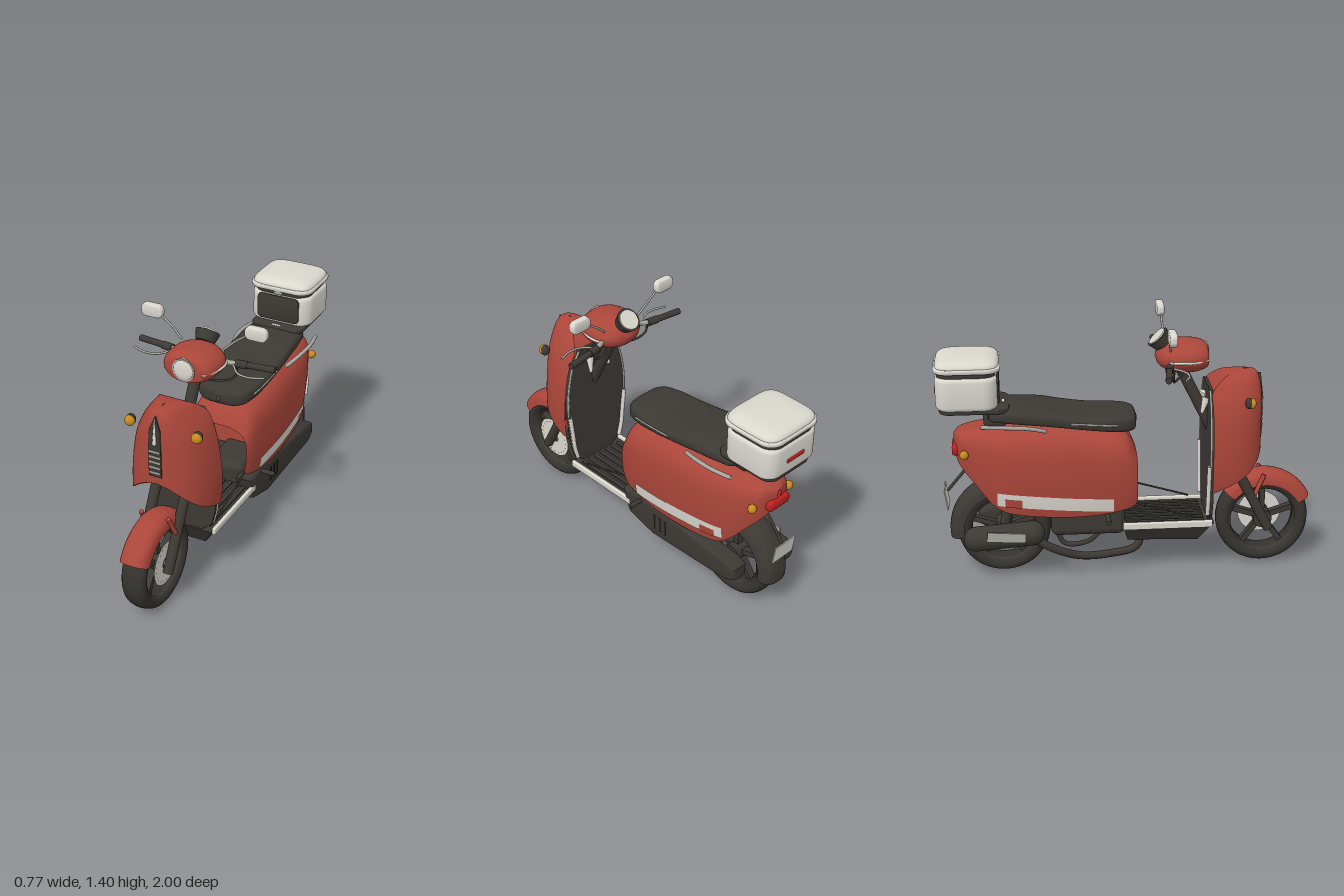
import * as THREE from 'three';
import { RoundedBoxGeometry } from 'three/addons/geometries/RoundedBoxGeometry.js';
import { toCreasedNormals } from 'three/addons/utils/BufferGeometryUtils.js';

const mat = (name, color) => new THREE.MeshStandardMaterial({ name, color, side: THREE.DoubleSide });
const V = (p) => new THREE.Vector3(...p);
const { sin, cos, abs, sign, sqrt, PI } = Math;
const pw = (k, e) => sign(k) * abs(k) ** e;

// Smooth lookup in a table of rows [key, value, value...]
function look(tab, k) {
  let i = 0;
  while (i < tab.length - 2 && k > tab[i + 1][0]) i++;
  const [a, b] = [tab[i], tab[i + 1]], [p, q] = [tab[i - 1] || a, tab[i + 2] || b];
  const h = b[0] - a[0], t = (k - a[0]) / h;
  return a.slice(1).map((_, j) => {
    const c = j + 1, m0 = (b[c] - p[c]) / (b[0] - p[0]) * h, m1 = (q[c] - a[c]) / (q[0] - a[0]) * h;
    return a[c] + t * (m0 + t * (3 * (b[c] - a[c]) - 2 * m0 - m1 + t * (m0 + m1 - 2 * (b[c] - a[c]))));
  });
}

// Surface from a rule f(u, v) -> [x, y, z]
function grid(nu, nv, f) {
  const pos = [], idx = [];
  for (let i = 0; i <= nu; i++) for (let j = 0; j <= nv; j++) pos.push(...f(i / nu, j / nv));
  for (let i = 0; i < nu; i++) for (let j = 0; j < nv; j++) {
    const a = i * (nv + 1) + j, b = a + nv + 1;
    idx.push(a, b, a + 1, b, b + 1, a + 1);
  }
  const g = new THREE.BufferGeometry();
  g.setAttribute('position', new THREE.Float32BufferAttribute(pos, 3));
  g.setIndex(idx);
  g.computeVertexNormals();
  return g;
}

// Tables: rear body and seat by distance back [s, half width, bottom, top]; front shield by height [y, half width, back z, depth, front limit]
const BODY = [[-0.05, 0.165, 0.42, 0.69], [0, 0.185, 0.4, 0.79], [0.15, 0.2, 0.375, 0.83], [0.35, 0.205, 0.37, 0.86],
  [0.6, 0.19, 0.39, 0.86], [0.7, 0.172, 0.43, 0.855], [0.82, 0.13, 0.57, 0.84], [0.89, 0.08, 0.66, 0.82], [0.91, 0.01, 0.7, 0.8]];
const SEAT = [[-0.055, 0.01, 0.84, 0.87], [-0.04, 0.11, 0.815, 0.9], [0.05, 0.155, 0.81, 0.915], [0.2, 0.17, 0.83, 0.915],
  [0.35, 0.172, 0.85, 0.935], [0.45, 0.17, 0.86, 0.955], [0.65, 0.155, 0.88, 0.965], [0.72, 0.12, 0.89, 0.955], [0.73, 0.01, 0.9, 0.94]];
const SHIELD = [[0.49, 0.212, 0.44, 0.28, 0.45], [0.52, 0.219, 0.44, 0.28, 0.515], [0.56, 0.223, 0.44, 0.28, 0.6], [0.63, 0.225, 0.44, 0.28, 0.68],
  [0.72, 0.221, 0.44, 0.28, 0.724], [0.85, 0.203, 0.44, 0.28, 0.73], [0.95, 0.176, 0.44, 0.28, 0.73], [1.02, 0.14, 0.44, 0.275, 0.73],
  [1.08, 0.09, 0.5, 0.2, 0.73], [1.105, 0.045, 0.56, 0.12, 0.73], [1.112, 0.002, 0.62, 0.02, 0.73]];

function bodySection(s, q) {
  const [w, yb, yt] = look(BODY, s), mid = (yb + yt) / 2, h = (yt - yb) / 2, a = abs(q);
  if (a > 0.5) { const t = 2 * a - 1; return [sign(q) * w * (1 - 0.1 * t * t), mid - h * t, -s]; }
  return [sign(q) * w * sin(a * PI) ** 0.67, mid + h * abs(cos(a * PI)) ** 0.67, -s];
}
function bodyX(s, y) {
  const [w, yb, yt] = look(BODY, s), t = Math.max(0, ((yb + yt) / 2 - y) / ((yt - yb) / 2));
  return w * (1 - 0.1 * t * t);
}

export function createModel() {
  const root = new THREE.Group();
  root.name = 'scooter';
  const red = mat('red paint', 0xab463a), dark = mat('dark plastic', 0x3d3934), rubber = mat('tyre rubber', 0x36332f),
    light = mat('light silver', 0xdad7ce), steel = mat('steel', 0xa8a69f), amber = mat('amber lens', 0xc98a1c), lamp = mat('red lens', 0xc01f20);
  const add = (name, geo, m, p = [0, 0, 0], r = [0, 0, 0], parent = root) => {
    const o = new THREE.Mesh(geo, m);
    o.name = name; o.position.set(...p); o.rotation.set(...r); parent.add(o);
    return o;
  };
  const box = (name, m, size, p, r) => add(name, new THREE.BoxGeometry(...size), m, p, r);
  const rbox = (name, m, size, rad, p, r) => add(name, new RoundedBoxGeometry(...size, 4, rad), m, p, r);
  const ball = (name, m, p, s) => add(name, new THREE.SphereGeometry(1, 28, 18), m, p).scale.set(...s);
  const rod = (name, m, a, b, r, r2 = r) => {
    const d = V(b).sub(V(a)), o = add(name, new THREE.CylinderGeometry(r2, r, d.length(), 18), m);
    o.position.copy(V(a)).addScaledVector(d, 0.5);
    o.quaternion.setFromUnitVectors(new THREE.Vector3(0, 1, 0), d.normalize());
  };
  const tube = (name, m, pts, r) => add(name, new THREE.TubeGeometry(new THREE.CatmullRomCurve3(pts.map(V)), 32, r, 8), m);
  const extrude = (shape, depth, bevel) => toCreasedNormals(new THREE.ExtrudeGeometry(shape, { depth: depth - 2 * bevel, bevelSize: bevel,
    bevelThickness: bevel, bevelOffset: -bevel, bevelSegments: 4, curveSegments: 8 }).translate(0, 0, bevel), 0.6);
  // Side profile of [z, y] points, extruded from x0 to x1
  const profile = (name, m, pts, x0, x1, bevel = 0.015) => add(name,
    extrude(new THREE.Shape(pts.map(([z, y]) => new THREE.Vector2(-z, y))), x1 - x0, bevel).translate(0, 0, x0).rotateY(PI / 2), m);
  // Slab with round corners and softened rims
  const slab = (name, m, w, h, r, depth, bevel, p, rot) => {
    const s = new THREE.Shape(), x = w / 2 - r, y = h / 2 - r;
    [[x, y], [-x, y], [-x, -y], [x, -y]].forEach(([cx, cy], i) => s.absarc(cx, cy, r, i * PI / 2, (i + 1) * PI / 2));
    add(name, extrude(s, depth, bevel).translate(0, 0, -depth / 2), m, p, rot);
  };

  // Wheels: lathed tyre and rim, five spokes, hub
  const wheel = (name, z, y, R) => {
    const w = new THREE.Group();
    w.name = name; w.position.set(0, y, z); root.add(w);
    const tyre = [];
    for (let i = 0; i <= 20; i++) {
      const a = i / 20 * 2 * PI;
      tyre.push(new THREE.Vector2(R - 0.04 + 0.04 * pw(cos(a), 0.8), 0.067 * sin(a)));
    }
    add('tyre', new THREE.LatheGeometry(tyre, 56), rubber, [0, 0, 0], [0, 0, PI / 2], w);
    const rim = [[R - 0.05, -0.05], [R - 0.076, -0.05], [R - 0.072, 0], [R - 0.076, 0.05], [R - 0.05, 0.05]];
    add('rim', new THREE.LatheGeometry(rim.map((p) => new THREE.Vector2(...p)), 48), dark, [0, 0, 0], [0, 0, PI / 2], w);
    add('hub', new THREE.CylinderGeometry(0.05, 0.05, 0.11, 24), dark, [0, 0, 0], [0, 0, PI / 2], w);
    for (let i = 0; i < 5; i++) {
      const a = i / 5 * 2 * PI;
      add('spoke', new THREE.BoxGeometry(0.04, 0.15, 0.03), dark, [0, 0.11 * cos(a), 0.11 * sin(a)], [a, 0, 0], w);
    }
    return w;
  };
  const front = wheel('frontWheel', 0.745, 0.26, 0.253);
  wheel('rearWheel', -0.66, 0.255, 0.25);
  add('brakeDisc', new THREE.RingGeometry(0.03, 0.12, 40), light, [0.06, 0, 0], [0, PI / 2, 0], front);
  for (let i = 0; i < 20; i++) {
    const a = i / 20 * 2 * PI;
    add('discHole', new THREE.CircleGeometry(0.004, 8), dark, [0.062, 0.1 * cos(a), 0.1 * sin(a)], [0, PI / 2, 0], front);
  }

  // Mudguards: arched cross-section swept round each wheel
  const guard = (name, m, cz, cy, R, w, a0, a1) => add(name, grid(30, 14, (u, v) => {
    const a = (a0 + (a1 - a0) * u) * PI / 180, p = (v - 0.5) * PI, r = R - 0.075 + 0.075 * abs(cos(p)) ** 0.7;
    return [w * pw(sin(p), 0.8), cy + r * sin(a), cz + r * cos(a)];
  }), m);
  guard('frontMudguard', red, 0.75, 0.258, 0.283, 0.078, 28, 142);
  guard('rearMudguard', dark, -0.66, 0.255, 0.29, 0.085, 70, 188);

  // Fork and steering column
  rod('steeringColumn', dark, [0, 0.66, 0.52], [0, 1.15, 0.275], 0.03);
  rbox('forkCrown', dark, [0.2, 0.05, 0.07], 0.015, [0, 0.68, 0.52], [-0.46, 0, 0]);
  for (const s of [-1, 1]) {
    rod('forkLeg', dark, [s * 0.085, 0.22, 0.77], [s * 0.085, 0.7, 0.52], 0.027);
    rod('mudguardStay', red, [s * 0.077, 0.53, 0.74], [s * 0.088, 0.42, 0.69], 0.012);
  }
  rod('frontAxle', steel, [-0.1, 0.26, 0.745], [0.1, 0.26, 0.745], 0.015);

  // Front shield, cut away in an arch over the wheel and closed behind its crown
  for (const s of [-1, 1]) add('frontShield', grid(44, 24, (u, v) => {
    const y = 0.49 + 0.622 * (1 - (1 - u) ** 1.5), [w, zb, d, lim] = look(SHIELD, y);
    const a = Math.asin(Math.min(1, Math.max(0.02, (lim - zb) / d) ** 1.25)) * v;
    return [s * w * abs(cos(a)) ** 0.75, y, zb + d * sin(a) ** 0.8];
  }), red);
  add('shieldCrown', grid(14, 6, (u, v) => {
    const y = 1.0 + 0.112 * (1 - (1 - u) ** 1.5), [w, zb] = look(SHIELD, y);
    return [w * (2 * v - 1), y, zb];
  }), red);
  const edge = [[0.11, 0.3], [0.165, 0.345], [0.184, 0.42], [0.195, 0.52], [0.21, 0.64], [0.208, 0.75], [0.192, 0.86], [0.166, 0.95], [0.12, 1.03]];
  const legShape = new THREE.Shape([...edge.map(([x, y]) => new THREE.Vector2(x, y)), ...edge.slice().reverse().map(([x, y]) => new THREE.Vector2(-x, y))]);
  add('innerLegShield', new THREE.ExtrudeGeometry(legShape, { depth: 0.02, bevelEnabled: false }), dark, [0, 0, 0.43]);
  for (const s of [-1, 1]) {
    tube('legShieldTrim', light, edge.slice(1, 5).map(([x, y]) => [s * (x - 0.008), y, 0.424]), 0.012);
    tube('legShieldPiping', steel, edge.slice(4).map(([x, y]) => [s * (x - 0.004), y, 0.43]), 0.006);
    rod('bagHook', light, [s * 0.05, 0.97, 0.42], [s * 0.065, 0.89, 0.395], 0.022, 0.008);
    ball('frontIndicatorBase', dark, [s * 0.187, 0.978, 0.625], [0.026, 0.03, 0.022]);
    ball('frontIndicatorLens', amber, [s * 0.187, 0.977, 0.64], [0.028, 0.028, 0.022]);
  }
  // Grille and pointed slot on the nose
  box('grille', dark, [0.07, 0.18, 0.02], [0, 0.84, 0.715]);
  for (let i = 0; i < 5; i++) box('grilleBar', steel, [0.062, 0.011, 0.008], [0, 0.775 + i * 0.03, 0.724]);
  const slot = new THREE.Shape([[-0.034, 0], [0.034, 0], [0.03, 0.09], [0, 0.16], [-0.03, 0.09]].map((p) => new THREE.Vector2(...p)));
  add('noseSlot', new THREE.ExtrudeGeometry(slot, { depth: 0.02, bevelEnabled: false }), dark, [0, 0.925, 0.705], [-0.06, 0, 0]);
  rod('noseStripe', light, [0, 0.935, 0.724], [0, 1.075, 0.714], 0.011, 0.003);

  // Handlebar head with a blunt front, headlight and dial
  add('handlebarHead', grid(25, 36, (u, v) => {
    const k = Math.min(1, u / 0.96), t = 2 * k - 1, f = u === 1 ? 0 : t < 0 ? sqrt(1 - t * t) : sqrt(1 - 0.5 * t ** 3);
    return [0.148 * f * cos(v * 2 * PI), 1.195 + 0.087 * f * sin(v * 2 * PI), 0.15 + 0.272 * k];
  }), red);
  rod('headlightRim', steel, [0, 1.2, 0.41], [0, 1.2, 0.427], 0.062);
  ball('headlightLens', light, [0, 1.2, 0.425], [0.054, 0.054, 0.01]);
  rod('dialHousing', dark, [0, 1.255, 0.2], [0, 1.295, 0.164], 0.05, 0.065);
  rod('dialFace', light, [0, 1.295, 0.164], [0, 1.3, 0.159], 0.054);
  for (const s of [-1, 1]) {
    tube('headTrim', light, [[s * 0.1, 1.192, 0.424], [s * 0.137, 1.19, 0.36], [s * 0.15, 1.19, 0.28], [s * 0.132, 1.188, 0.21]], 0.007);
    rod('handlebar', steel, [s * 0.12, 1.185, 0.23], [s * 0.22, 1.18, 0.2], 0.013);
    rod('switchHousing', dark, [s * 0.18, 1.18, 0.21], [s * 0.24, 1.18, 0.2], 0.021);
    rod('handGrip', dark, [s * 0.24, 1.18, 0.2], [s * 0.385, 1.178, 0.18], 0.017);
    tube('brakeLever', steel, [[s * 0.17, 1.175, 0.22], [s * 0.23, 1.17, 0.285], [s * 0.3, 1.17, 0.295], [s * 0.37, 1.172, 0.27]], 0.006);
    tube('brakeCable', dark, [[s * 0.2, 1.17, 0.23], [s * 0.18, 1.11, 0.23], [s * 0.11, 1.085, 0.25], [s * 0.02, 1.1, 0.3]], 0.006);
    tube('mirrorStalk', steel, [[s * 0.12, 1.25, 0.22], [s * 0.18, 1.305, 0.21], [s * 0.25, 1.355, 0.21]], 0.006);
    slab('mirror', light, 0.12, 0.072, 0.03, 0.04, 0.01, [s * 0.292, 1.37, 0.208]);
  }

  // Floor tray tapering downwards, with ribs, light edges and foot pegs
  const tray = profile('floorBoard', dark, [[0.46, 0.3], [0.38, 0.17], [0, 0.19], [-0.03, 0.3]], -0.17, 0.17, 0.005).geometry;
  const tp = tray.attributes.position;
  for (let i = 0; i < tp.count; i++) tp.setX(i, tp.getX(i) * (0.55 + 0.45 * (tp.getY(i) - 0.17) / 0.13));
  tray.computeVertexNormals();
  for (let i = -3; i <= 3; i++) box('floorRib', dark, [0.022, 0.012, 0.42], [i * 0.043, 0.304, 0.2]);
  for (const s of [-1, 1]) {
    rbox('floorTrim', light, [0.022, 0.04, 0.48], 0.008, [s * 0.175, 0.3, 0.21]);
    rod('footPeg', dark, [s * 0.15, 0.36, -0.11], [s * 0.26, 0.36, -0.11], 0.013);
    rod('floorBrace', dark, [s * 0.15, 0.33, 0.36], [s * 0.15, 0.43, 0.02], 0.005);
  }

  // Rear body shell, underside and bulkhead
  add('rearBody', grid(44, 40, (u, v) => bodySection(-0.05 + 0.96 * u, 2 * v - 1)), red);
  add('bodyUnderside', grid(24, 2, (u, v) => {
    const s = 0.1 + 0.8 * u, [w, yb] = look(BODY, s);
    return [(2 * v - 1) * w * 0.89, yb + 0.012, -s];
  }), dark);
  box('bulkhead', red, [0.36, 0.38, 0.01], [0, 0.58, -0.25]);
  for (const s of [-1, 1]) {
    const plate = (name, m, s0, s1, lo, hi, off) => add(name, grid(20, 5, (u, v) => {
      const k = s0 + (s1 - s0) * u, y = lo + (hi - lo) * v + 0.08 * (k - 0.08);
      return [s * (bodyX(k, y) + off), y, -k];
    }), m);
    plate('sideStripe', light, 0.08, 0.69, 0.393, 0.467, 0.005);
    plate('stripePatch', red, 0.56, 0.65, 0.393, 0.44, 0.009);
    tube('grabRail', steel, [[s * 0.165, 0.85, -0.43], [s * 0.2, 0.88, -0.52], [s * 0.213, 0.893, -0.64], [s * 0.195, 0.893, -0.76]], 0.011);
    rod('seatPiping', steel, [s * 0.158, 0.865, -0.05], [s * 0.173, 0.887, -0.3], 0.005);
    ball('rearIndicator', amber, [s * 0.135, 0.72, -0.855], [0.023, 0.025, 0.023]);
  }
  slab('tailLight', lamp, 0.15, 0.06, 0.025, 0.05, 0.012, [0, 0.72, -0.895]);

  // Seat
  add('seat', grid(44, 32, (u, v) => {
    const s = -0.055 + 0.785 * (1 - cos(u * PI)) / 2, [w, yb, yt] = look(SEAT, s), a = v * 2 * PI;
    return [w * pw(cos(a), 0.6), (yb + yt) / 2 + (yt - yb) / 2 * pw(sin(a), 0.6), -s];
  }), dark);
  box('seatTag', light, [0.05, 0.006, 0.014], [0, 0.968, -0.645]);

  // Rack and luggage box with a domed lid
  const flat = [-PI / 2, 0, 0];
  slab('luggageRack', dark, 0.31, 0.36, 0.06, 0.022, 0.006, [0, 0.957, -0.795], flat);
  rbox('rackMount', dark, [0.16, 0.1, 0.12], 0.02, [0, 0.9, -0.69]);
  slab('luggageBox', light, 0.36, 0.32, 0.075, 0.18, 0.025, [0, 1.058, -0.83], flat);
  slab('boxFrontPanel', dark, 0.25, 0.15, 0.025, 0.012, 0.003, [0, 1.065, -0.668]);
  slab('boxSeal', dark, 0.33, 0.3, 0.07, 0.05, 0.005, [0, 1.155, -0.83], flat);
  slab('boxLidRim', light, 0.37, 0.345, 0.08, 0.026, 0.008, [0, 1.183, -0.825], flat);
  add('boxLid', grid(12, 48, (u, v) => {
    const e = u * PI / 2, a = v * 2 * PI, r = abs(cos(e)) ** 0.5;
    return [0.178 * r * pw(cos(a), 0.42), 1.19 + 0.046 * sin(e) ** 0.8, -0.825 + 0.165 * r * pw(sin(a), 0.42)];
  }), light);
  rbox('boxLatch', steel, [0.05, 0.03, 0.015], 0.005, [0, 1.165, -0.665]);
  rbox('boxReflector', lamp, [0.12, 0.022, 0.012], 0.004, [0, 1.05, -0.99]);

  // Engine, drive case, exhaust
  rbox('engine', dark, [0.22, 0.2, 0.4], 0.04, [0, 0.32, -0.21]);
  profile('driveCase', dark, [[0.03, 0.37], [-0.1, 0.385], [-0.3, 0.37], [-0.74, 0.325], [-0.8, 0.3], [-0.8, 0.23], [-0.74, 0.2], [-0.2, 0.18], [-0.02, 0.23]], 0.085, 0.185, 0.02);
  for (let i = 0; i < 3; i++) box('caseVent', rubber, [0.006, 0.09, 0.012], [0.186, 0.28, -0.22 - i * 0.04]);
  add('muffler', new THREE.CapsuleGeometry(0.066, 0.3, 8, 24), dark, [-0.162, 0.265, -0.66], [PI / 2 - 0.08, 0, 0]);
  box('mufflerShield', steel, [0.008, 0.05, 0.2], [-0.228, 0.285, -0.65], [0.08, 0, 0]);
  tube('exhaustPipe', dark, [[-0.06, 0.22, 0.08], [-0.08, 0.14, 0.05], [-0.1, 0.11, -0.1], [-0.12, 0.115, -0.26], [-0.16, 0.18, -0.4], [-0.162, 0.25, -0.52]], 0.022);
  rod('rearAxle', steel, [-0.13, 0.255, -0.66], [0.13, 0.255, -0.66], 0.015);
  rod('rearShock', dark, [-0.115, 0.28, -0.66], [-0.115, 0.52, -0.62], 0.028);
  tube('centreStand', dark, [[0.05, 0.2, -0.12], [0.05, 0.12, -0.2], [0.05, 0.11, -0.33], [0.05, 0.2, -0.38]], 0.014);

  // Number plate and bracket
  rod('plateBracket', dark, [0, 0.62, -0.83], [0, 0.47, -0.955], 0.008);
  box('numberPlate', light, [0.15, 0.11, 0.006], [0, 0.44, -0.962], [-0.15, 0, 0]);
  return root;
}
